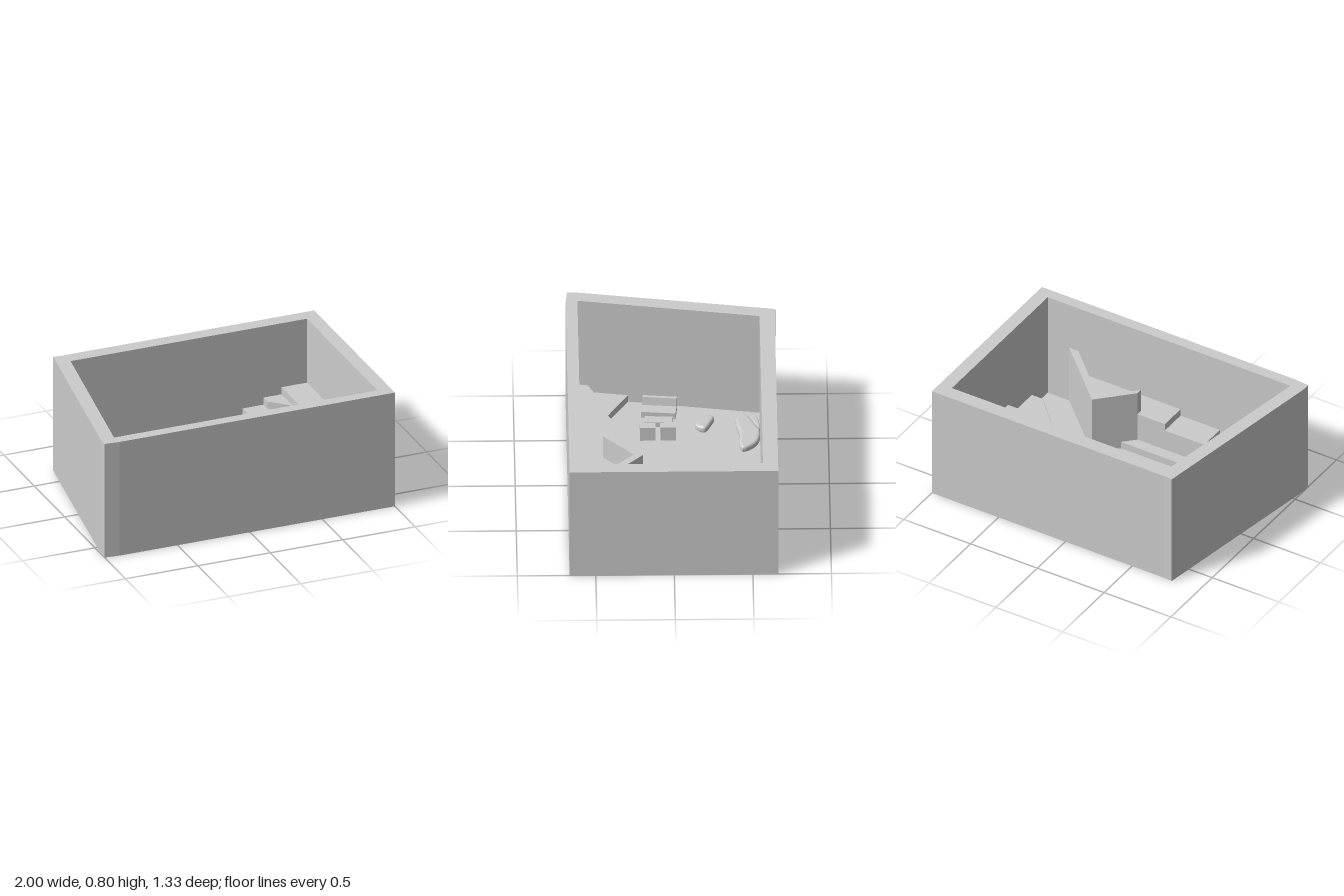
import * as THREE from 'three';

const material = new THREE.MeshStandardMaterial({ color: 0xcccccc, flatShading: true });
const FLOOR = 0.05;

// Plan outlines are listed as [x, z]
const outline = (pts) => new THREE.Shape(pts.map(([x, z]) => new THREE.Vector2(x, -z)));

// Raise a plan outline from y0 to y1, optionally with rounded top and bottom edges
function prism(name, shape, y0, y1, bevel = 0) {
  const geo = new THREE.ExtrudeGeometry(shape, {
    depth: y1 - y0 - 2 * bevel, bevelEnabled: bevel > 0, bevelSize: bevel,
    bevelOffset: -bevel, bevelThickness: bevel, bevelSegments: 3,
  });
  geo.rotateX(-Math.PI / 2);
  geo.translate(0, y0 + bevel, 0);
  const mesh = new THREE.Mesh(geo, material);
  mesh.name = name;
  return mesh;
}

function box(name, w, h, d, x, y, z) {
  const mesh = new THREE.Mesh(new THREE.BoxGeometry(w, h, d), material);
  mesh.name = name;
  mesh.position.set(x, y + h / 2, z);
  return mesh;
}

// Closed smooth outline through a few points
function blob(pts) {
  const curve = new THREE.CatmullRomCurve3(pts.map(([x, z]) => new THREE.Vector3(x, -z, 0)), true);
  return new THREE.Shape(curve.getPoints(32).slice(0, -1).map((p) => new THREE.Vector2(p.x, p.y)));
}

// Seat with a reclined back on its -x side
function seat(name, w, d, x, z, angle) {
  const g = new THREE.Group();
  g.name = name;
  g.add(box('cushion', w, 0.045, d, 0, 0, 0));
  const back = new THREE.Shape([
    [-w / 2, 0.04], [-w / 2 + 0.03, 0.04], [-w / 2 + 0.02, 0.1], [-w / 2, 0.1],
  ].map(([a, b]) => new THREE.Vector2(a, b)));
  const geo = new THREE.ExtrudeGeometry(back, { depth: d, bevelEnabled: false });
  geo.translate(0, 0, -d / 2);
  const mesh = new THREE.Mesh(geo, material);
  mesh.name = 'backrest';
  g.add(mesh);
  g.position.set(x, FLOOR, z);
  g.rotation.y = angle;
  return g;
}

export function createModel() {
  const model = new THREE.Group();
  model.name = 'room';

  // Shell: floor slab and a wall ring with a slanting right side
  const outer = [
    [-0.8, -0.667], [-0.74, -0.662], [1, -0.662], [1, 0.667], [-0.9, 0.667], [-1, 0.658], [-1, 0.6],
  ];
  // The hole runs against the outer outline so its faces look into the room
  const inner = [[-0.908, 0.592], [0.91, 0.592], [0.91, -0.565], [-0.722, -0.565]];
  model.add(prism('floor', outline(outer), 0, FLOOR));
  const ring = outline(outer);
  ring.holes.push(outline(inner));
  model.add(prism('walls', ring, FLOOR, 0.8));

  // Terraces climbing into the back corner
  const corner = [0.91, -0.565];
  const terraces = [
    [[0.19, -0.565], [0.19, -0.27], [0.33, -0.13], [0.33, -0.565]],
    [[0.33, -0.565], [0.33, -0.13], [0.82, 0.4], [0.91, 0.4], corner],
    [[0.33, -0.565], [0.33, -0.38], [0.465, -0.25], [0.465, -0.565]],
    [[0.465, -0.565], [0.465, -0.25], [0.825, 0.112], [0.91, 0.112], corner],
    [[0.61, -0.565], [0.61, -0.5], [0.735, -0.38], [0.735, -0.565]],
    [[0.735, -0.565], [0.735, -0.25], [0.825, -0.16], [0.91, -0.16], corner],
  ];
  terraces.forEach((pts, i) =>
    model.add(prism('terrace', outline(pts), FLOOR, FLOOR + 0.05 * (i + 1))));
  model.add(prism('terraceLip', outline([
    [0.324, -0.565], [0.324, -0.13], [0.818, 0.398], [0.826, 0.398], [0.332, -0.135], [0.332, -0.565],
  ]), FLOOR, 0.165));

  // Winding stair along the front wall up to the deck
  const pivot = [-0.63, 0.402];
  const treads = [
    [[-0.855, 0.27], pivot, [-0.897, 0.525]],
    [[-0.897, 0.525], pivot, [-0.63, 0.592], [-0.908, 0.592]],
    [pivot, [-0.38, 0.402], [-0.38, 0.592], [-0.63, 0.592]],
    [[-0.38, 0.402], [-0.085, 0.402], [-0.085, 0.592], [-0.38, 0.592]],
    [[-0.085, 0.402], [0.12, 0.402], [0.12, 0.44], [0.33, 0.25], [0.68, 0.592], [-0.085, 0.592]],
  ];
  treads.forEach((pts, i) => model.add(
    prism(i < 4 ? 'stairTread' : 'deck', outline(pts), FLOOR, FLOOR + 0.05 * (i + 1))));
  model.add(prism('lowBench', outline([
    pivot, [-0.5, 0.325], [0.2, 0.325], [0.12, 0.402],
  ]), FLOOR, 0.1));

  // Angled parapet around the deck
  model.add(prism('parapet', outline([
    [0.12, 0.402], [0.33, 0.19], [0.75, 0.592], [0.68, 0.592], [0.325, 0.25], [0.12, 0.443],
  ]), FLOOR, 0.465));

  // Furniture
  model.add(box('plinth', 0.26, 0.04, 0.22, -0.16, FLOOR, -0.13));
  model.add(seat('sofa', 0.108, 0.22, -0.72, 0.075, -0.1));
  const table = box('lowTable', 0.07, 0.035, 0.18, -0.605, FLOOR, 0.08);
  table.rotation.y = -0.05;
  model.add(table);
  for (const z of [0.02, 0.15]) model.add(seat('armchair', 0.13, 0.1, -0.485, z, Math.PI));

  // Rounded lounge with a curved backrest, and its footstool
  model.add(prism('curvedLounge', blob([
    [-0.65, -0.47], [-0.6, -0.535], [-0.5, -0.563], [-0.38, -0.56], [-0.31, -0.52],
    [-0.275, -0.455], [-0.3, -0.435], [-0.44, -0.433], [-0.55, -0.412], [-0.62, -0.42],
  ]), FLOOR, 0.1, 0.018));
  model.add(prism('loungeBack', blob([
    [-0.63, -0.495], [-0.58, -0.54], [-0.5, -0.56], [-0.46, -0.56],
    [-0.49, -0.535], [-0.55, -0.51], [-0.61, -0.485],
  ]), 0.08, 0.128, 0.006));
  model.add(prism('footstool', blob([
    [-0.643, -0.22], [-0.622, -0.273], [-0.57, -0.258], [-0.495, -0.218], [-0.5, -0.185],
    [-0.535, -0.153], [-0.595, -0.172],
  ]), FLOOR, 0.1, 0.018));

  return model;
}
